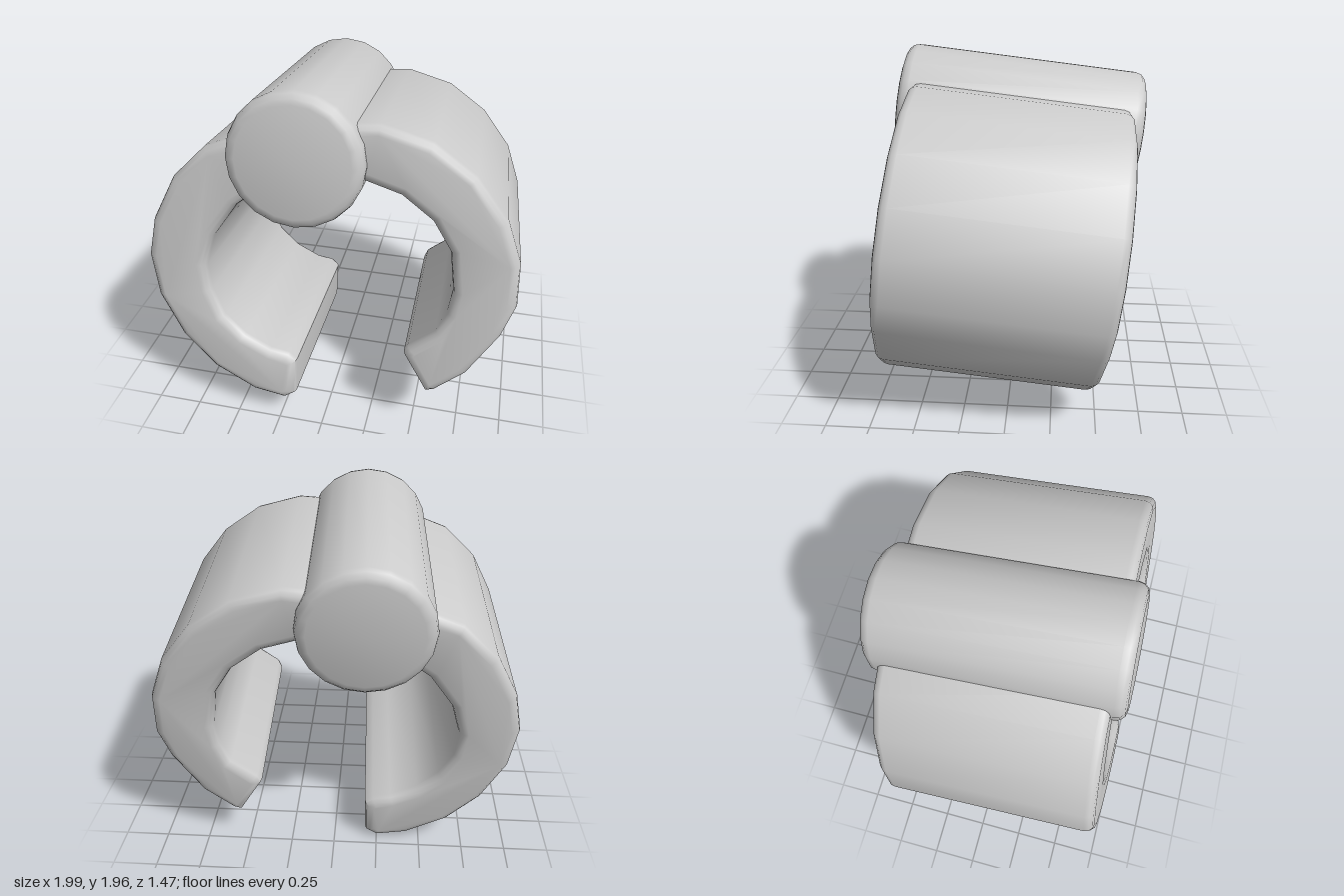
import * as THREE from 'three';
import { toCreasedNormals } from 'three/addons/utils/BufferGeometryUtils.js';

const material = new THREE.MeshStandardMaterial({ color: 0xcccccc });

// Open C-shaped cross-section: outer edge clockwise from the left tip, then back along the inner edge
const outer = [
  [-0.16, 0.18], [-0.225, 0.135], [-0.405, 0.165], [-0.635, 0.29], [-0.815, 0.48], [-0.94, 0.73],
  [-0.975, 0.98], [-0.93, 1.2], [-0.805, 1.445], [-0.62, 1.63], [-0.42, 1.71], [-0.15, 1.78],
  [0.13, 1.81], [0.265, 1.82], [0.52, 1.75], [0.735, 1.6], [0.9, 1.39], [0.985, 1.16],
  [0.995, 0.92], [0.935, 0.74], [0.78, 0.48], [0.62, 0.34], [0.57, 0.325],
];
const inner = [
  [0.44, 0.55], [0.46, 0.6], [0.6, 0.71], [0.65, 0.84], [0.67, 0.97], [0.64, 1.19], [0.54, 1.35],
  [0.38, 1.47], [0.2, 1.525], [-0.1, 1.52], [-0.3, 1.45], [-0.47, 1.32], [-0.6, 1.13], [-0.65, 0.95],
  [-0.63, 0.8], [-0.565, 0.64], [-0.45, 0.53], [-0.3, 0.455], [-0.2, 0.44], [-0.155, 0.4],
];

function createBand() {
  const length = 1.2, bevel = 0.05;
  const shape = new THREE.Shape([...outer, ...inner].map(([x, y]) => new THREE.Vector2(x, y - 0.98)));
  const geometry = new THREE.ExtrudeGeometry(shape, {
    depth: length - 2 * bevel, bevelEnabled: true, bevelThickness: bevel,
    bevelSize: bevel, bevelOffset: -bevel, bevelSegments: 3,
  });
  geometry.translate(0, 0, bevel - length / 2);
  const mesh = new THREE.Mesh(toCreasedNormals(geometry, 0.8), material);
  mesh.name = 'openBand';
  return mesh;
}

function createBar() {
  const radius = 0.352, half = 0.675, bevel = 0.06;
  const profile = [new THREE.Vector2(0, -half)];
  // Rounded rims at both ends
  for (const side of [-1, 1]) {
    for (let i = 0; i <= 3; i++) {
      const a = (side < 0 ? i : 3 - i) / 3 * Math.PI / 2;
      profile.push(new THREE.Vector2(
        radius - bevel + bevel * Math.sin(a),
        side * (half - bevel + bevel * Math.cos(a))));
    }
  }
  profile.push(new THREE.Vector2(0, half));
  const geometry = new THREE.LatheGeometry(profile, 20).rotateX(Math.PI / 2);
  const mesh = new THREE.Mesh(toCreasedNormals(geometry, 0.8), material);
  mesh.name = 'topBar';
  mesh.position.set(-0.141, 0.634, 0);
  return mesh;
}

export function createModel() {
  // Band and bar share one axis direction, raised at the front and turned slightly
  const body = new THREE.Group();
  body.name = 'tiltedClip';
  body.add(createBand(), createBar());
  body.rotation.set(-0.12, 0.022, 0, 'YXZ');
  body.position.set(-0.0125, 0.91, 0.045);

  const model = new THREE.Group();
  model.name = 'clip';
  model.add(body);
  return model;
}
